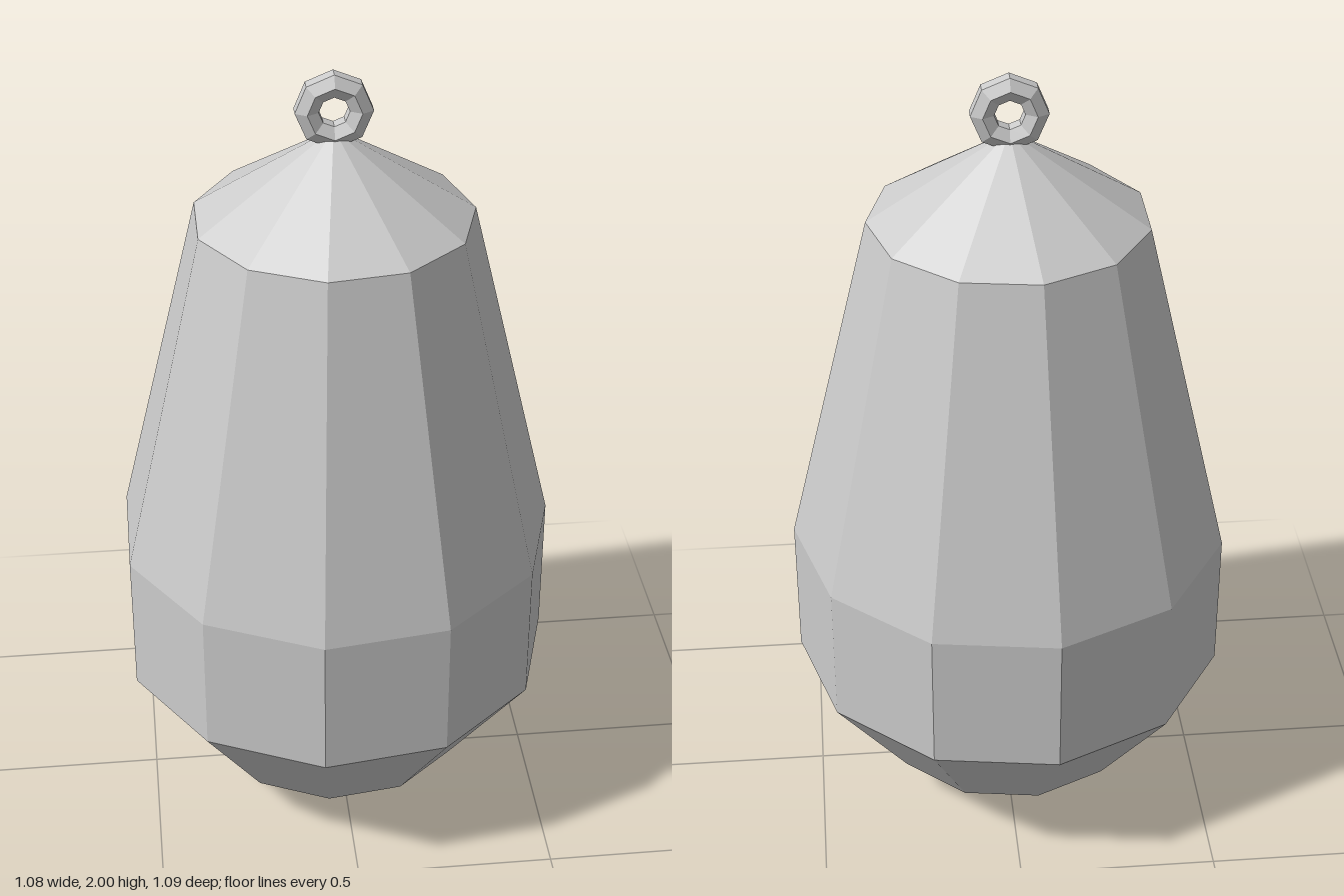
import * as THREE from 'three';

const SIDES = 11;
const OFFSET_X = -0.011; // the odd number of sides shifts the axis off the box centre

const material = new THREE.MeshStandardMaterial({ color: 0xcccccc, flatShading: true });

// Faceted solid of revolution with a corner on +x
function turned(name, points, sides) {
  const profile = points.map(([r, y]) => new THREE.Vector2(r, y));
  const mesh = new THREE.Mesh(new THREE.LatheGeometry(profile, sides, Math.PI / 2), material);
  mesh.name = name;
  return mesh;
}

export function createModel() {
  const group = new THREE.Group();
  group.name = 'hangingWeight';

  // Pear-shaped body with its pointed base and cap
  group.add(turned('base', [[0, 0], [0.34, 0.115]], SIDES));
  group.add(turned('body', [[0.34, 0.115], [0.551, 0.403], [0.551, 0.768], [0.34, 1.64]], SIDES));
  group.add(turned('cap', [[0.34, 1.64], [0, 1.86]], SIDES));

  // Eight-sided hanging ring with a hexagonal section, flat side outwards
  const ringRadius = 0.064, wire = 0.032;
  const section = [];
  for (let i = 0; i <= 6; i++) {
    const a = Math.PI / 6 + (i * Math.PI) / 3;
    section.push([ringRadius + wire * Math.cos(a), wire * Math.sin(a)]);
  }
  const ring = turned('hangingRing', section, 8);
  ring.rotation.x = Math.PI / 2;
  ring.position.y = 1.908;
  group.add(ring);

  group.children.forEach((part) => { part.position.x = OFFSET_X; });
  return group;
}
